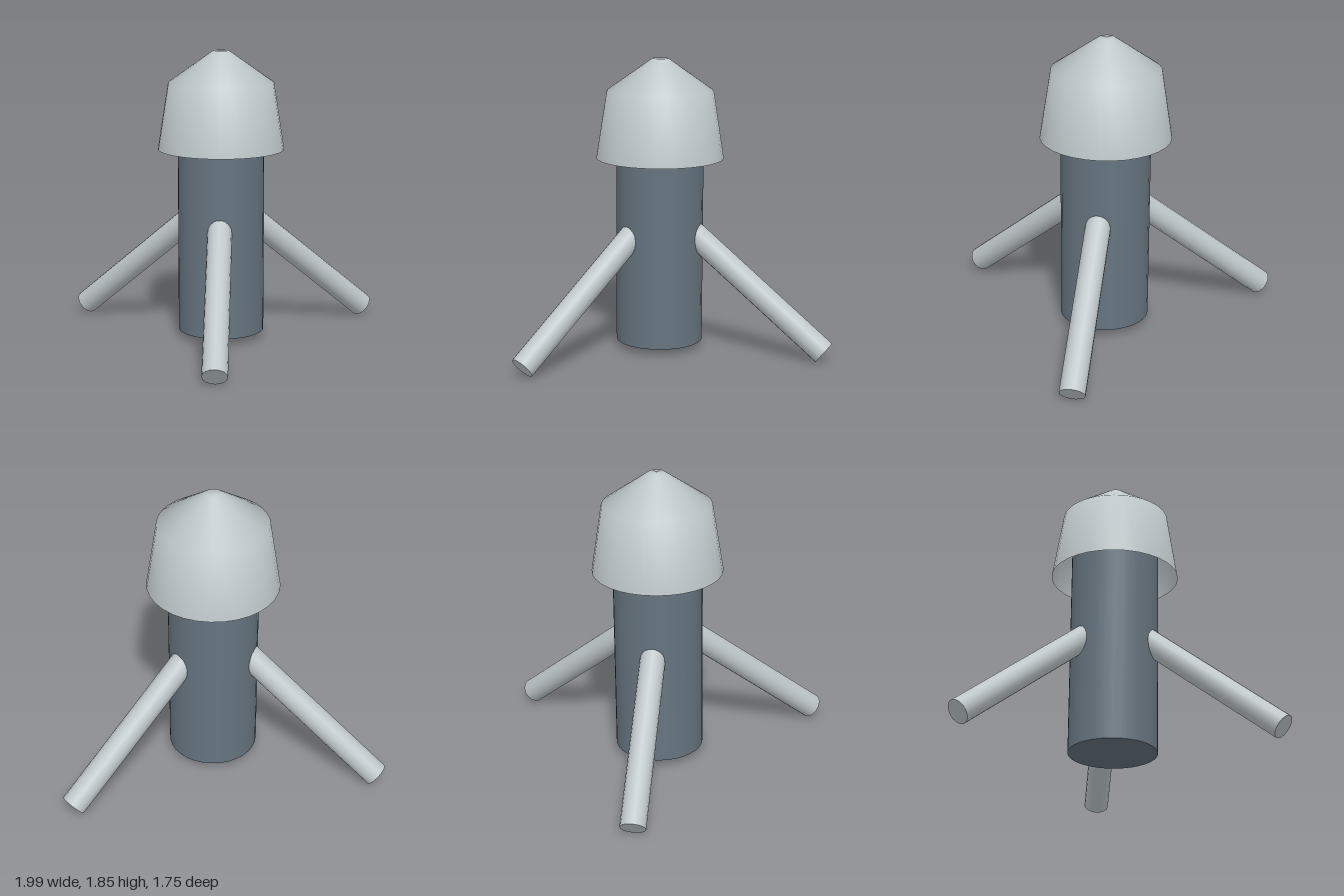
import * as THREE from 'three';

const AXIS_Z = -0.26; // the body's axis sits behind the centre

export function createModel() {
  const group = new THREE.Group();
  const lightGrey = new THREE.MeshStandardMaterial({ color: 0xbfc7ca, side: THREE.DoubleSide });
  lightGrey.name = 'lightGrey';
  const slate = new THREE.MeshStandardMaterial({ color: 0x66747f });
  slate.name = 'slate';

  const add = (name, geometry, material) => {
    const mesh = new THREE.Mesh(geometry, material);
    mesh.name = name;
    group.add(mesh);
    return mesh;
  };

  // Upright cylindrical body, reaching up inside the cap
  const bottom = 0.055, top = 1.5;
  add('body', new THREE.CylinderGeometry(0.275, 0.275, top - bottom, 32), slate)
    .position.set(0, (bottom + top) / 2, AXIS_Z);

  // Flared cap, open underneath, with a small flat tip
  const profile = [[0.402, 1.235], [0.335, 1.66], [0.05, 1.86], [0, 1.86]]
    .map(([r, y]) => new THREE.Vector2(r, y));
  add('cap', new THREE.LatheGeometry(profile, 32), lightGrey).position.z = AXIS_Z;

  // Three splayed legs at equal angles
  const up = new THREE.Vector3(0, 1, 0);
  ['frontLeg', 'backLeftLeg', 'backRightLeg'].forEach((name, i) => {
    const angle = (i * Math.PI * 2) / 3;
    const at = (r, y) => new THREE.Vector3(Math.sin(angle) * r, y, AXIS_Z + Math.cos(angle) * r);
    const foot = at(1.085, 0.07);
    const hip = at(0.12, 0.85);
    const leg = add(name, new THREE.CylinderGeometry(0.078, 0.078, foot.distanceTo(hip), 16), lightGrey);
    leg.position.copy(foot).lerp(hip, 0.5);
    leg.quaternion.setFromUnitVectors(up, hip.clone().sub(foot).normalize());
  });

  return group;
}
